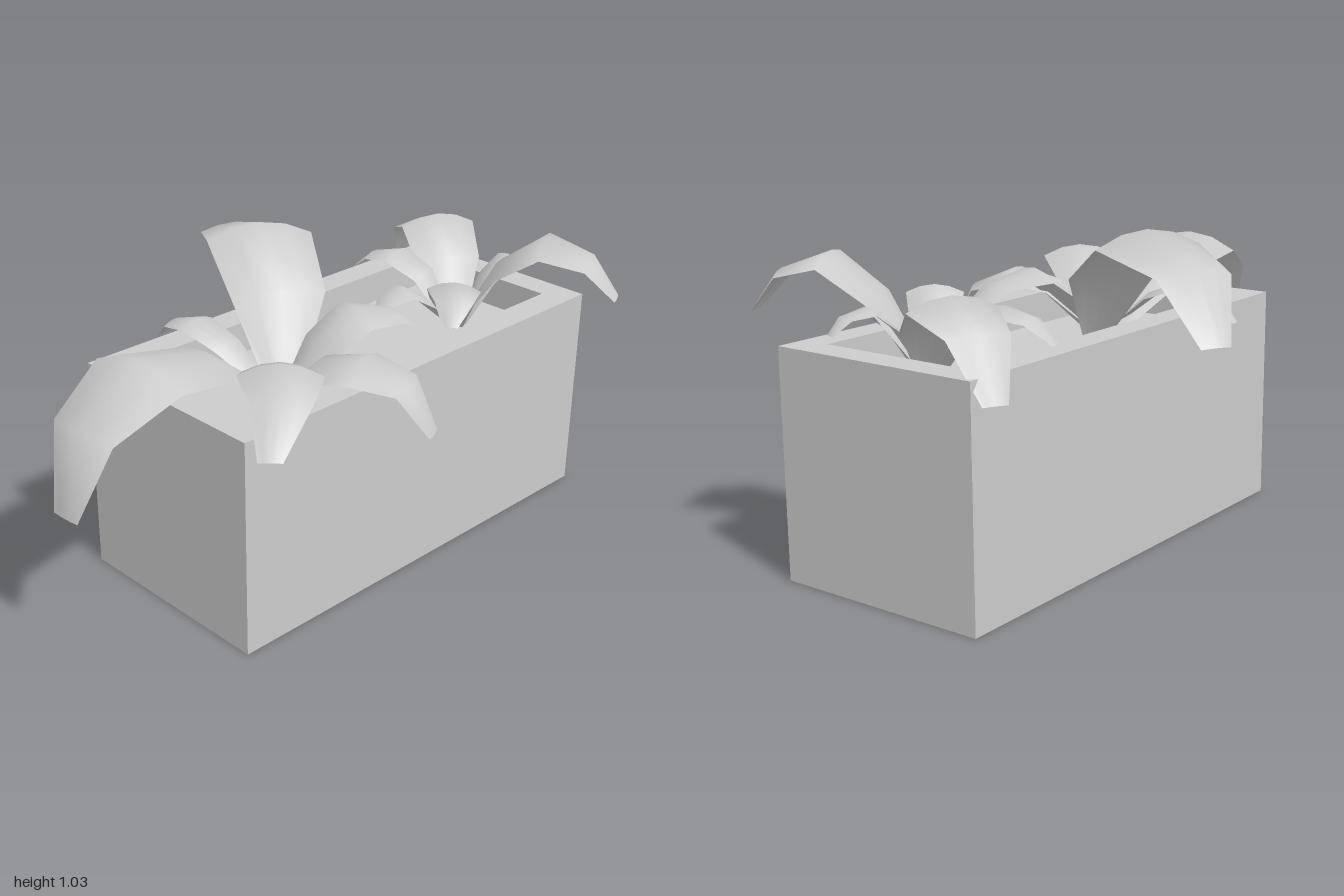
import * as THREE from 'three';

const grey = new THREE.MeshStandardMaterial({ color: 0xcccccc, side: THREE.DoubleSide });

// Planter extents and soil level
const X0 = -0.3, X1 = 0.435, Z0 = -1, Z1 = 0.59, TOP = 0.73, SOIL = 0.62, RIM = 0.1;

// Relative leaf width at each of the five stations from base to tip
const TAPER = [0.3, 0.88, 1, 0.7, 0.28];
const ACROSS = 4, CUP = 0.15;

// Each leaf: width, then the midrib from base to tip as [x, y, z]
const frontPlant = [
  [0.37, [0.07, 0.62, 0.14], [0.07, 0.84, 0.42], [0.08, 0.9, 0.69], [0.11, 0.77, 0.93], [0.12, 0.515, 1]],
  [0.36, [0.08, 0.62, 0.1], [-0.05, 0.88, -0.01], [-0.27, 1.03, -0.12], [-0.52, 0.94, -0.23], [-0.635, 0.735, -0.3]],
  [0.24, [0.11, 0.62, 0.12], [0.14, 0.77, 0.02], [0.18, 0.865, -0.11], [0.23, 0.83, -0.25], [0.27, 0.73, -0.37]],
  [0.26, [0.12, 0.62, 0.16], [0.26, 0.78, 0.13], [0.41, 0.82, 0.08], [0.54, 0.76, 0.01], [0.6, 0.59, -0.04]],
  [0.26, [0.12, 0.62, 0.17], [0.22, 0.8, 0.25], [0.34, 0.87, 0.36], [0.46, 0.83, 0.47], [0.53, 0.7, 0.58]],
  [0.14, [0.08, 0.62, 0.16], [-0.06, 0.76, 0.21], [-0.19, 0.81, 0.23], [-0.31, 0.77, 0.235], [-0.385, 0.69, 0.235]],
];
const backPlant = [
  [0.27, [0.13, 0.62, -0.68], [0.02, 0.82, -0.77], [-0.12, 0.92, -0.86], [-0.27, 0.84, -0.92], [-0.35, 0.66, -0.955]],
  [0.27, [0.14, 0.62, -0.67], [0.26, 0.87, -0.73], [0.41, 0.99, -0.79], [0.56, 0.93, -0.86], [0.635, 0.8, -0.91]],
  [0.12, [0.15, 0.62, -0.7], [0.17, 0.78, -0.78], [0.2, 0.85, -0.86], [0.23, 0.83, -0.93], [0.24, 0.78, -0.98]],
  [0.16, [0.12, 0.62, -0.67], [0.02, 0.79, -0.65], [-0.09, 0.85, -0.62], [-0.2, 0.82, -0.6], [-0.27, 0.75, -0.585]],
  [0.15, [0.13, 0.62, -0.66], [0.1, 0.74, -0.56], [0.07, 0.8, -0.47], [0.07, 0.78, -0.39], [0.07, 0.73, -0.33]],
  [0.18, [0.15, 0.62, -0.66], [0.2, 0.78, -0.58], [0.26, 0.86, -0.51], [0.32, 0.83, -0.44], [0.35, 0.76, -0.39]],
];

function geometryFrom(positions, index) {
  const g = new THREE.BufferGeometry();
  g.setAttribute('position', new THREE.Float32BufferAttribute(positions, 3));
  if (index) g.setIndex(index);
  g.computeVertexNormals();
  return g;
}

function part(name, geometry) {
  const mesh = new THREE.Mesh(geometry, grey);
  mesh.name = name;
  return mesh;
}

// Arching blade: a curved cross-section, flatter at the ends, swept along the midrib
function leafGeometry([width, ...midrib]) {
  const path = midrib.map(p => new THREE.Vector3(...p));
  const last = path.length - 1;
  const side = new THREE.Vector3().subVectors(path[last], path[0]).setY(0).normalize()
    .cross(new THREE.Vector3(0, 1, 0));
  const positions = [], index = [];
  path.forEach((p, i) => {
    const tangent = new THREE.Vector3()
      .subVectors(path[Math.min(i + 1, last)], path[Math.max(i - 1, 0)]).normalize();
    const normal = new THREE.Vector3().crossVectors(side, tangent).normalize();
    const w = width * TAPER[i], drop = CUP * w * TAPER[i];
    for (let j = 0; j <= ACROSS; j++) {
      const t = (2 * j) / ACROSS - 1;
      const v = p.clone().addScaledVector(side, t * w / 2).addScaledVector(normal, -drop * t * t);
      positions.push(v.x, v.y, v.z);
      if (i < last && j < ACROSS) {
        const a = i * (ACROSS + 1) + j, b = a + ACROSS + 1;
        index.push(a, a + 1, b, a + 1, b + 1, b);
      }
    }
  });
  return geometryFrom(positions, index);
}

function plant(name, leaves) {
  const group = new THREE.Group();
  group.name = name;
  leaves.forEach((leaf, i) => group.add(part(`leaf${i + 1}`, leafGeometry(leaf))));
  return group;
}

// Rectangle corners in x and -z, so tipping a shape up lays it flat
function corners(inset) {
  const a = X0 + inset, b = X1 - inset, c = -Z1 + inset, d = -Z0 - inset;
  return [[a, c], [b, c], [b, d], [a, d]].map(p => new THREE.Vector2(...p));
}

// Four thin upright walls around a rectangle
function wallGeometry(inset, y0, y1) {
  const positions = [];
  corners(inset).forEach((p, i, all) => {
    const q = all[(i + 1) % 4];
    const quad = [[p, y0], [q, y0], [q, y1], [p, y0], [q, y1], [p, y1]];
    quad.forEach(([c, y]) => positions.push(c.x, y, -c.y));
  });
  return geometryFrom(positions);
}

function flatGeometry(shape, y) {
  return new THREE.ShapeGeometry(shape).rotateX(-Math.PI / 2).translate(0, y, 0);
}

export function createModel() {
  const model = new THREE.Group();
  model.name = 'planter';

  // Hollow planter, open underneath, with a flat rim
  const rim = new THREE.Shape(corners(0));
  rim.holes.push(new THREE.Path(corners(RIM)));
  model.add(
    part('outerWalls', wallGeometry(0, 0, TOP)),
    part('rim', flatGeometry(rim, TOP)),
    part('innerWalls', wallGeometry(RIM, SOIL, TOP)),
    part('soil', flatGeometry(new THREE.Shape(corners(RIM)), SOIL)),
  );

  // Two leafy plants
  model.add(plant('frontPlant', frontPlant), plant('backPlant', backPlant));
  return model;
}
